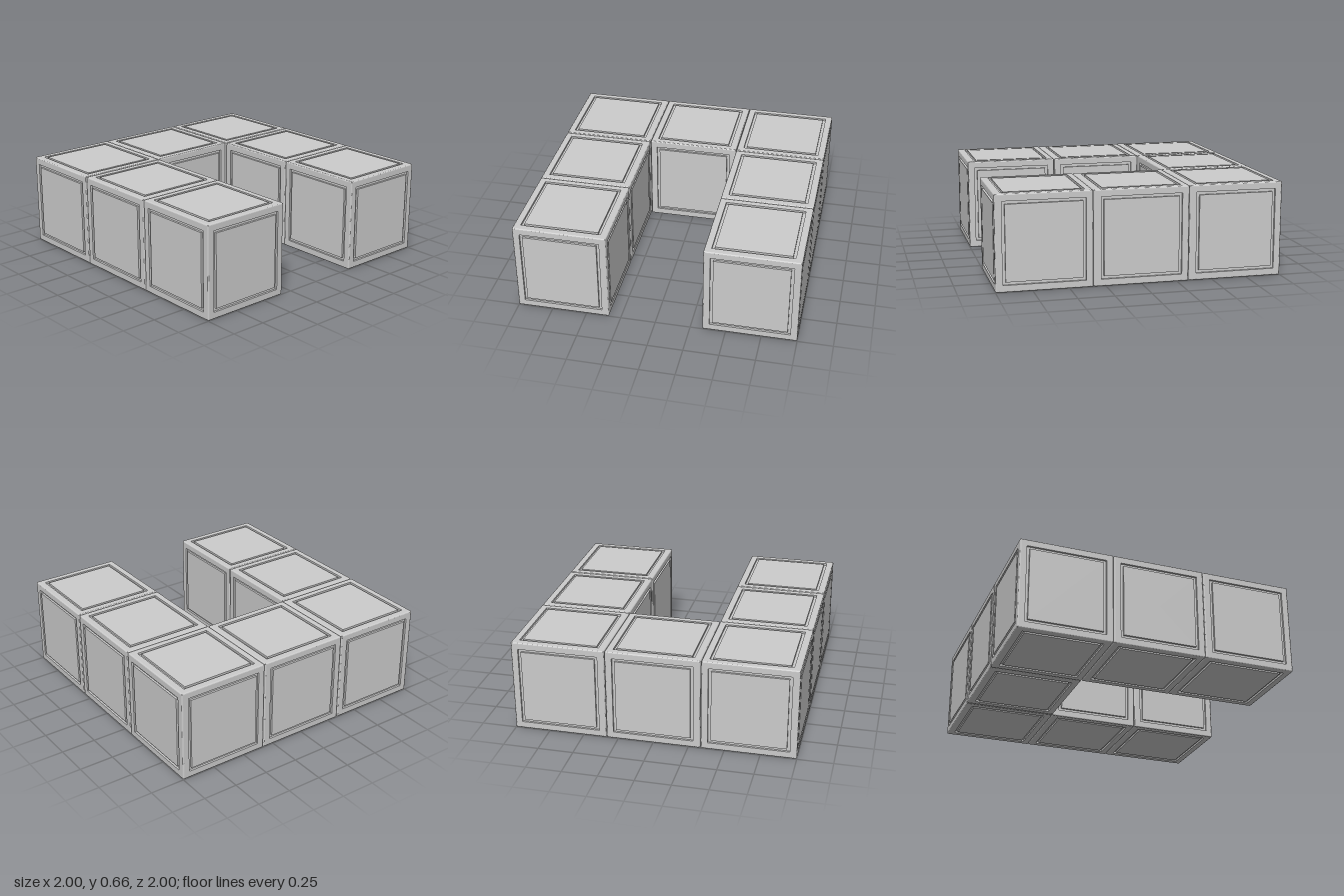
import * as THREE from 'three';
import { mergeGeometries } from 'three/addons/utils/BufferGeometryUtils.js';

const HALF = 0.332;    // half the size of a cube
const PITCH = 0.668;   // distance between cube centres
const BEVEL = 0.009;
const GROOVE = { inner: 0.263, outer: 0.283, depth: 0.015 };

// One side of a cube: rounded rim, frame, square groove and panel, as a four-sided lathe
function sideGeometry() {
  const profile = [];
  for (const angle of [Math.PI / 4, Math.PI / 8, 0]) {
    profile.push([HALF - BEVEL + BEVEL * Math.sin(angle), HALF - BEVEL + BEVEL * Math.cos(angle)]);
  }
  const { inner, outer, depth } = GROOVE;
  profile.push([outer, HALF], [outer, HALF - depth], [inner, HALF - depth], [inner, HALF], [0, HALF]);
  const points = profile.map(([r, y]) => new THREE.Vector2(r * Math.SQRT2, y));
  const geometry = new THREE.LatheGeometry(points, 4, Math.PI / 4).toNonIndexed();
  geometry.computeVertexNormals();
  return geometry;
}

// Six sides turned to face every direction
function cubeGeometry() {
  const side = sideGeometry();
  const sides = [0, 1, 2, 3].map((i) => side.clone().rotateX(i * Math.PI / 2));
  sides.push(side.clone().rotateZ(Math.PI / 2), side.clone().rotateZ(-Math.PI / 2));
  return mergeGeometries(sides);
}

export function createModel() {
  const model = new THREE.Group();
  model.name = 'cubeArch';
  const material = new THREE.MeshStandardMaterial({ color: 0xcccccc, flatShading: true });
  const geometry = cubeGeometry();

  const addCube = (name, column, row) => {
    const cube = new THREE.Mesh(geometry, material);
    cube.name = name;
    cube.position.set(column * PITCH, HALF, row * PITCH);
    model.add(cube);
  };

  // Two arms of three cubes, joined by one cube at the back
  ['back', 'middle', 'front'].forEach((place, i) => {
    addCube(`${place}LeftCube`, 1, i - 1);
    addCube(`${place}RightCube`, -1, i - 1);
  });
  addCube('backCentreCube', 0, -1);
  return model;
}
